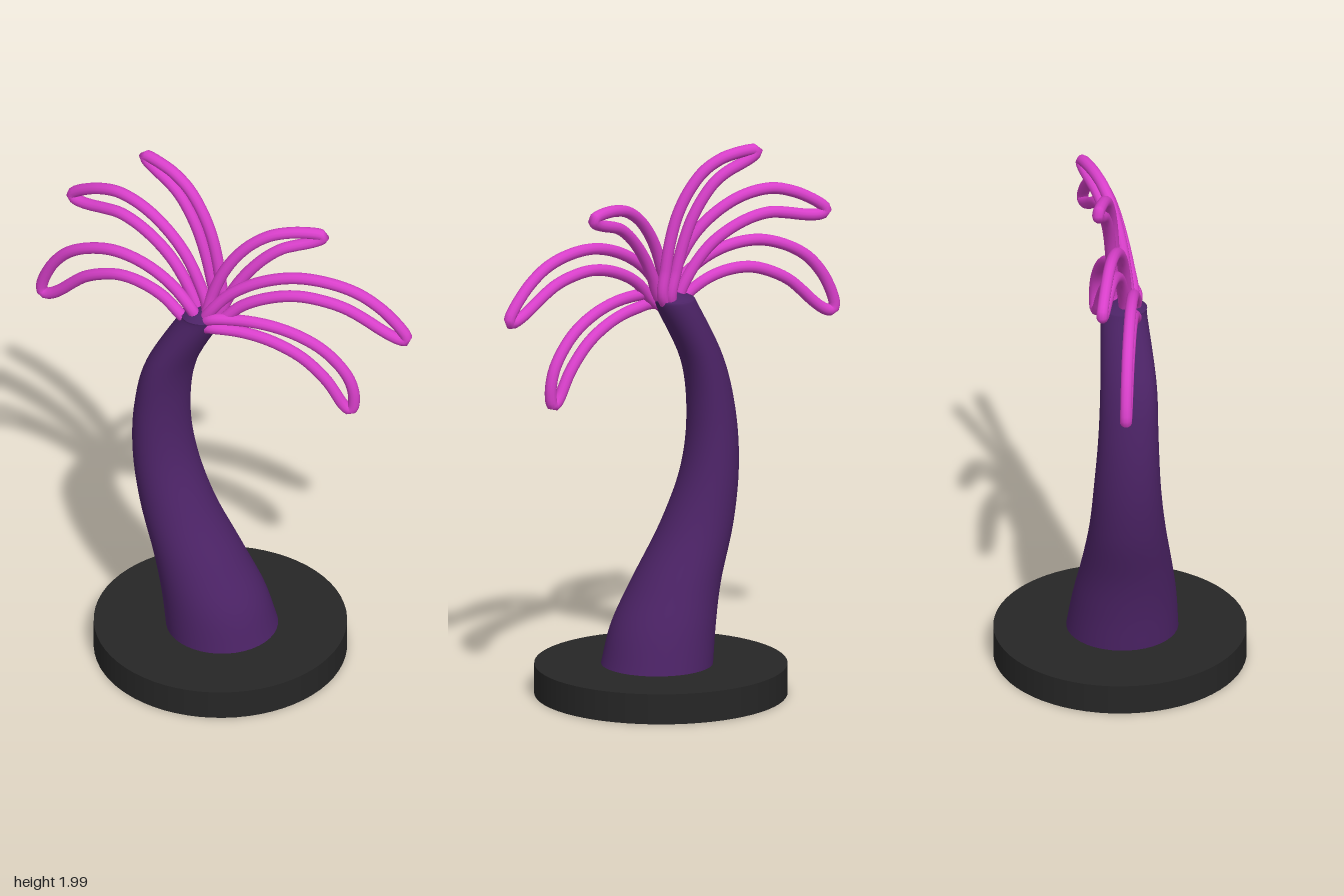
import * as THREE from 'three';

const material = (name, color) => {
  const m = new THREE.MeshStandardMaterial({ color });
  m.name = name;
  return m;
};

// Trunk outline: height, then lowest and highest x, lowest and highest z
const trunkRows = [
  [0.10, -0.155, 0.245, -0.198, 0.203],
  [0.25, -0.168, 0.205, -0.163, 0.206],
  [0.40, -0.19, 0.13, -0.115, 0.21],
  [0.60, -0.238, 0.022, -0.055, 0.217],
  [0.80, -0.26, -0.053, -0.02, 0.22],
  [1.00, -0.25, -0.075, -0.003, 0.215],
  [1.20, -0.205, -0.05, -0.01, 0.195],
  [1.41, -0.108, 0.045, -0.045, 0.122],
  [1.44, -0.085, 0.045, -0.03, 0.115],
  [1.47, -0.01, 0.01, 0.035, 0.055],
];

// Lofts smooth oval rings through the rows
function trunkGeometry(steps = 60, sides = 40) {
  const curve = (xi, zi) => new THREE.CatmullRomCurve3(
    trunkRows.map((r) => new THREE.Vector3(r[xi], r[0], r[zi])), false, 'catmullrom', 0.5);
  const low = curve(1, 3), high = curve(2, 4);
  const positions = [], index = [];
  for (let i = 0; i <= steps; i++) {
    const a = low.getPoint(i / steps), b = high.getPoint(i / steps);
    for (let j = 0; j < sides; j++) {
      const t = (j / sides) * Math.PI * 2;
      positions.push(
        (a.x + b.x) / 2 + Math.cos(t) * (b.x - a.x) / 2,
        a.y,
        (a.z + b.z) / 2 + Math.sin(t) * (b.z - a.z) / 2);
      if (i < steps) {
        const p = i * sides + j, q = i * sides + (j + 1) % sides;
        index.push(p, p + sides, q, q, p + sides, q + sides);
      }
    }
  }
  const g = new THREE.BufferGeometry();
  g.setAttribute('position', new THREE.Float32BufferAttribute(positions, 3));
  g.setIndex(index);
  g.computeVertexNormals();
  return g;
}

// Each frond: leaf width, z at root and tip, and the x, y midline from root to tip
const fronds = [
  { name: 'upperLeftFrond', width: 0.036, z: [-0.015, 0.05],
    spine: [[0.01, 1.45], [-0.02, 1.63], [-0.075, 1.785], [-0.165, 1.9], [-0.32, 1.965]] },
  { name: 'middleLeftFrond', width: 0.054, z: [0.04, 0.165],
    spine: [[-0.02, 1.45], [-0.08, 1.58], [-0.18, 1.69], [-0.36, 1.763], [-0.58, 1.708]] },
  { name: 'lowerLeftFrond', width: 0.064, z: [0.085, 0.27],
    spine: [[-0.04, 1.435], [-0.135, 1.515], [-0.3, 1.558], [-0.48, 1.49], [-0.618, 1.318]] },
  { name: 'upperRightFrond', width: 0.038, z: [0.03, -0.25],
    spine: [[0.02, 1.45], [0.06, 1.59], [0.115, 1.7], [0.18, 1.77], [0.3, 1.805]] },
  { name: 'middleRightFrond', width: 0.05, z: [0.045, -0.365],
    spine: [[0.035, 1.44], [0.115, 1.545], [0.27, 1.628], [0.45, 1.605], [0.615, 1.468]] },
  { name: 'lowerRightFrond', width: 0.044, z: [0.06, -0.25],
    spine: [[0.04, 1.43], [0.17, 1.432], [0.32, 1.365], [0.41, 1.25], [0.445, 1.13]] },
];

// A tube loop runs out along one side of the leaf and back along the other
function frondGeometry({ width, z, spine }) {
  const [rootX, tipX] = [spine[0][0], spine[4][0]];
  const midline = new THREE.CatmullRomCurve3(spine.map(([x, y]) =>
    new THREE.Vector3(x, y, THREE.MathUtils.mapLinear(x, rootX, tipX, z[0], z[1]))));
  const slope = (z[1] - z[0]) / (tipX - rootX);
  const steps = 10;
  const points = [];
  for (let i = -steps; i <= steps; i++) {
    const t = Math.cos((i / steps) * Math.PI / 2); // 0 at the roots, 1 at the tip
    const p = midline.getPointAt(t), d = midline.getTangentAt(t);
    const half = -Math.sign(i) * width * Math.sqrt(1 - t ** 4) * (0.4 + 0.6 * Math.sin(t * Math.PI / 2));
    const k = half / Math.hypot(d.x, d.y);
    points.push(new THREE.Vector3(p.x - d.y * k, p.y + d.x * k, p.z - d.y * k * slope));
  }
  // Both ends sink into the trunk
  const socket = new THREE.Vector3(-0.03, 1.37, 0.045);
  const loop = new THREE.CatmullRomCurve3([socket, ...points, socket.clone()]);
  return new THREE.TubeGeometry(loop, 120, 0.021, 12);
}

export function createModel() {
  const model = new THREE.Group();
  model.name = 'palmTree';
  const black = material('black', 0x262626);
  const purple = material('purple', 0x4c2366);
  const pink = material('pink', 0xd83fca);
  const add = (name, geometry, mat) => {
    const mesh = new THREE.Mesh(geometry, mat);
    mesh.name = name;
    model.add(mesh);
    return mesh;
  };

  // Round display base
  add('base', new THREE.CylinderGeometry(0.45, 0.45, 0.11, 64), black).position.set(0.03, 0.055, 0);

  // Curved trunk
  add('trunk', trunkGeometry(), purple);

  // Looped fronds
  for (const f of fronds) add(f.name, frondGeometry(f), pink);

  return model;
}
